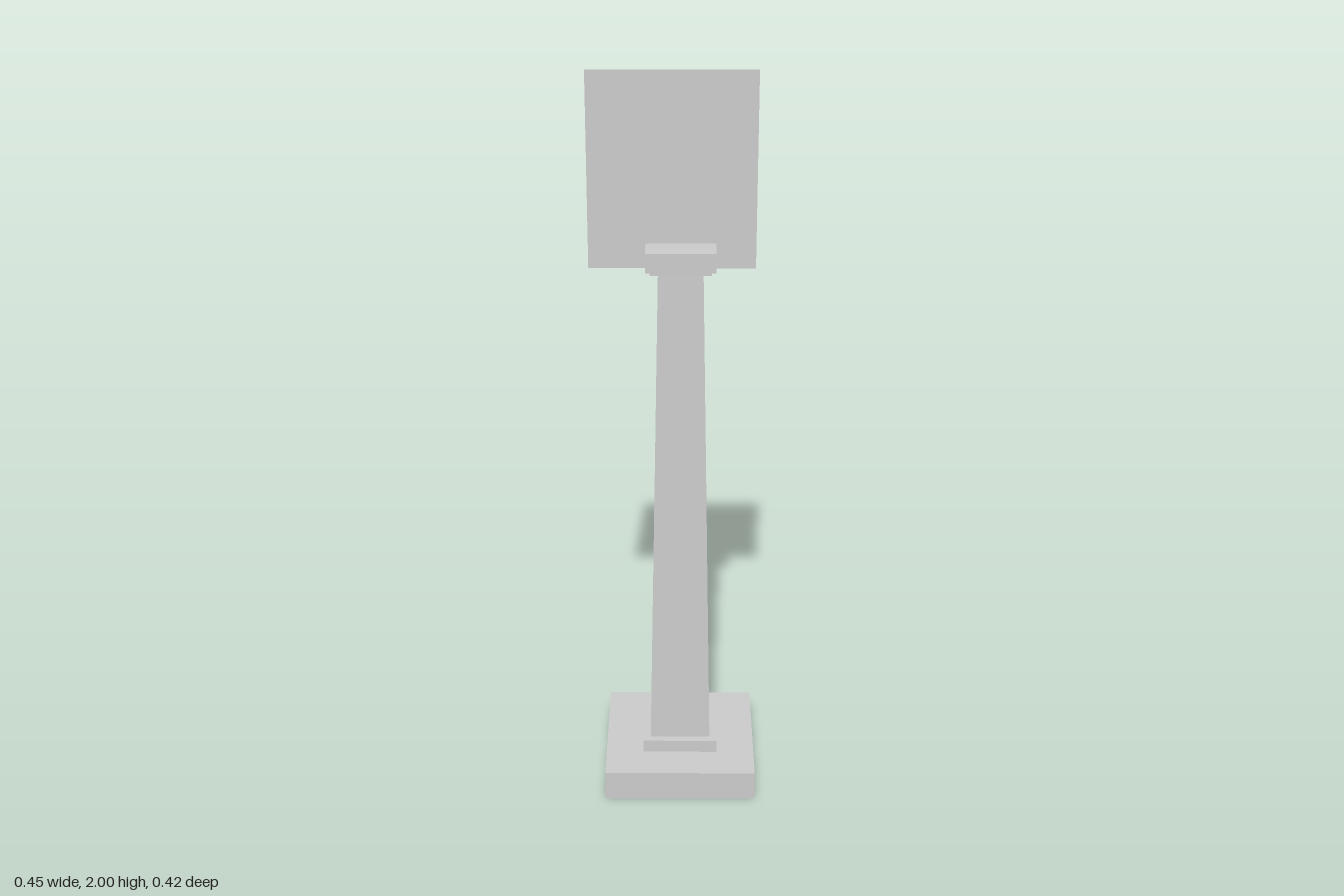
import * as THREE from 'three';

const material = new THREE.MeshStandardMaterial({ color: 0xcccccc, flatShading: true });

// Square block between two heights; the top may be narrower than the bottom
function squareBlock(name, y0, y1, bottomWidth, topWidth = bottomWidth) {
  const geometry = new THREE.CylinderGeometry(topWidth / Math.SQRT2, bottomWidth / Math.SQRT2, y1 - y0, 4, 1);
  geometry.rotateY(Math.PI / 4);
  const mesh = new THREE.Mesh(geometry, material);
  mesh.name = name;
  mesh.position.y = (y0 + y1) / 2;
  return mesh;
}

export function createModel() {
  const model = new THREE.Group();
  model.name = 'pillarWithPanel';

  // Pillar, stacked from the ground up
  const pillar = new THREE.Group();
  pillar.name = 'pillar';
  pillar.position.set(0.014, 0, -0.001);
  pillar.add(
    squareBlock('base', 0, 0.085, 0.417),
    squareBlock('plinth', 0.085, 0.122, 0.208),
    squareBlock('shaft', 0.122, 1.497, 0.167, 0.116),
    squareBlock('neck', 1.497, 1.508, 0.158),
    squareBlock('cap', 1.508, 1.558, 0.18),
  );
  model.add(pillar);

  // Thin upright panel through the middle of the cap
  const panelMaterial = material.clone();
  panelMaterial.side = THREE.DoubleSide;
  const panel = new THREE.Mesh(new THREE.PlaneGeometry(0.43, 0.508), panelMaterial);
  panel.name = 'panel';
  panel.position.set(-0.008, 1.746, 0);
  model.add(panel);

  return model;
}
